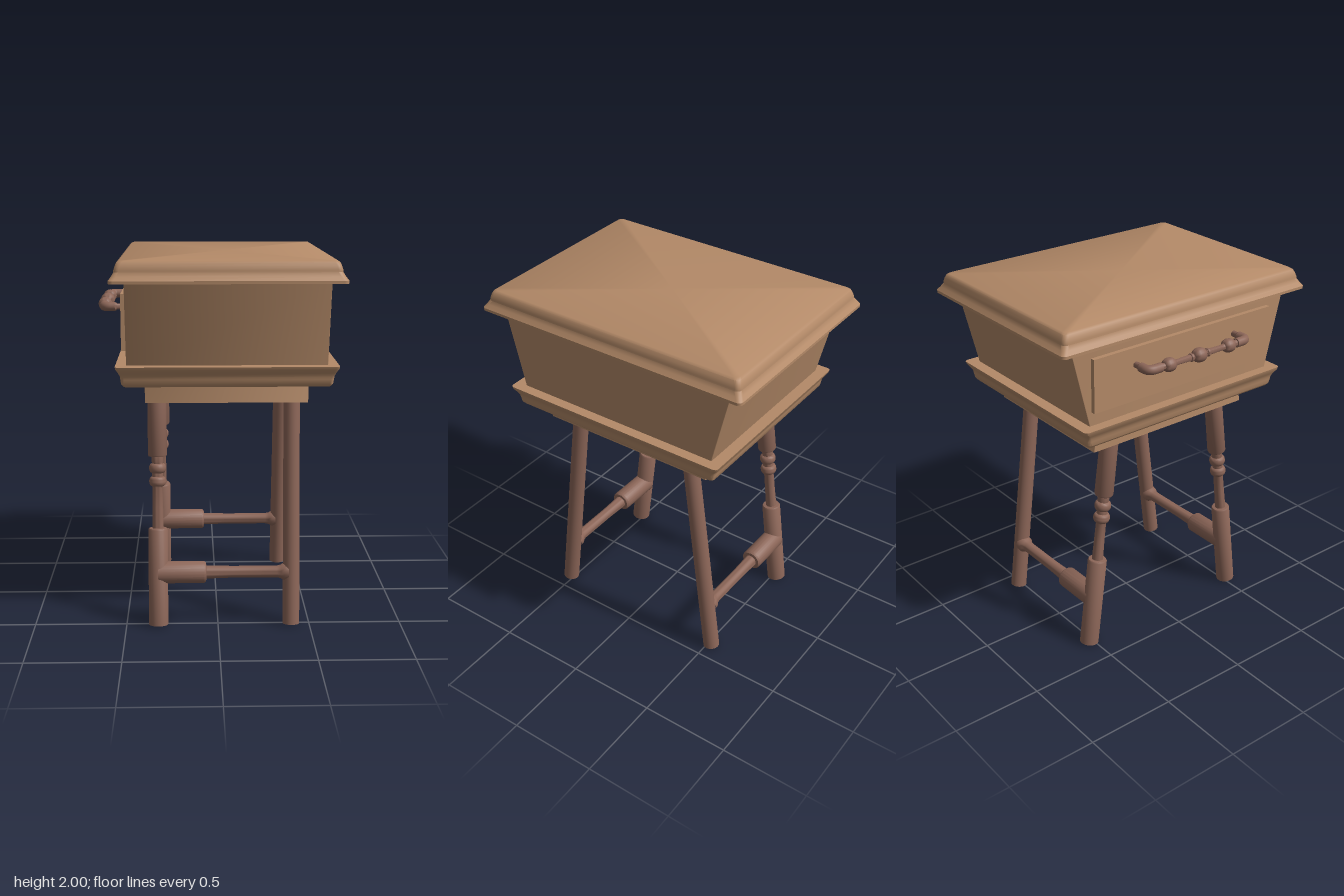
import * as THREE from 'three';
import { toCreasedNormals } from 'three/addons/utils/BufferGeometryUtils.js';

const tan = new THREE.MeshStandardMaterial({ color: 0xb48a68 });
const brown = new THREE.MeshStandardMaterial({ color: 0x8c6658 });

function add(parent, name, geometry, material, x = 0, y = 0, z = 0) {
  const mesh = new THREE.Mesh(geometry, material);
  mesh.name = name;
  mesh.position.set(x, y, z);
  parent.add(mesh);
  return mesh;
}

// Closed solid through rounded rectangles [y, halfX, halfZ, cornerRadius], bottom to top
function rectLoft(sections) {
  const steps = 4, n = 4 * (steps + 1), pos = [], index = [];
  const signs = [[1, 1], [-1, 1], [-1, -1], [1, -1]];
  for (const [y, hx, hz, r] of sections) {
    signs.forEach(([sx, sz], q) => {
      for (let i = 0; i <= steps; i++) {
        const a = (q + i / steps) * Math.PI / 2;
        pos.push(sx * (hx - r) + r * Math.cos(a), y, sz * (hz - r) + r * Math.sin(a));
      }
    });
  }
  const last = sections.length - 1, bottom = pos.length / 3, top = bottom + 1;
  pos.push(0, sections[0][0], 0, 0, sections[last][0], 0);
  for (let i = 0; i < n; i++) {
    const j = (i + 1) % n;
    for (let s = 0; s < last; s++) {
      const a = s * n + i, b = s * n + j;
      index.push(a, a + n, b, b, a + n, b + n);
    }
    index.push(bottom, i, j, top, last * n + j, last * n + i);
  }
  const g = new THREE.BufferGeometry();
  g.setAttribute('position', new THREE.Float32BufferAttribute(pos, 3));
  g.setIndex(index);
  return toCreasedNormals(g, 0.6);
}

// Turned part from [radius, height] pairs, lowest first
function turned(profile, sides = 24) {
  const pts = profile.map(([r, y]) => new THREE.Vector2(r, y));
  return toCreasedNormals(new THREE.LatheGeometry(pts, sides), 0.7);
}

// Bead outline as a half circle squashed along the axis
function bead(y, halfHeight, core, radius) {
  return Array.from({ length: 9 }, (_, i) => {
    const a = (i / 8 - 0.5) * Math.PI;
    return [core + (radius - core) * Math.cos(a), y + halfHeight * Math.sin(a)];
  });
}

function createCase() {
  const g = new THREE.Group();
  g.name = 'case';
  g.position.x = 0.045;
  add(g, 'lid', rectLoft([
    [1.89, 0.593, 0.803, 0.025], [1.905, 0.593, 0.803, 0.025], [1.925, 0.578, 0.788, 0.025],
    [1.945, 0.566, 0.776, 0.025], [1.955, 0.566, 0.776, 0.025], [1.975, 0.56, 0.77, 0.025],
    [1.992, 0.552, 0.762, 0.025], [2.0, 0.54, 0.75, 0.025],
  ]), tan);
  add(g, 'flaredBody', rectLoft([[1.43, 0.52, 0.597, 0.004], [1.9, 0.52, 0.712, 0.004]]), tan);
  add(g, 'baseMoulding', rectLoft([
    [1.345, 0.535, 0.62, 0.02], [1.358, 0.546, 0.63, 0.02], [1.385, 0.55, 0.635, 0.02],
    [1.4, 0.552, 0.637, 0.02], [1.42, 0.56, 0.648, 0.02], [1.44, 0.573, 0.663, 0.02],
    [1.455, 0.576, 0.667, 0.02],
  ]), tan);
  add(g, 'apron', rectLoft([[1.24, 0.43, 0.512, 0.004], [1.36, 0.43, 0.495, 0.004]]), tan);
  return g;
}

function createDrawer() {
  const g = new THREE.Group();
  g.name = 'drawer';
  add(g, 'drawerFront', new THREE.BoxGeometry(0.06, 0.29, 1.18), tan, -0.47, 1.675, 0);

  const handle = new THREE.Group();
  handle.name = 'handle';
  handle.position.set(-0.603, 1.727, 0);
  g.add(handle);

  // Beaded grip lying along z
  const grip = add(handle, 'grip', turned([
    [0, -0.27], [0.016, -0.27], [0.018, -0.245], ...bead(-0.2, 0.034, 0.018, 0.037),
    [0.015, -0.15], [0.017, -0.065], ...bead(-0.055, 0.008, 0.017, 0.023),
    [0.017, -0.042], ...bead(0, 0.039, 0.012, 0.039), [0.017, 0.042],
    ...bead(0.055, 0.008, 0.017, 0.023), [0.017, 0.065], [0.015, 0.15],
    ...bead(0.2, 0.034, 0.018, 0.037), [0.018, 0.245], [0.016, 0.27], [0, 0.27],
  ], 20), brown);
  grip.rotation.x = Math.PI / 2;

  // Elbows and thin pins into the drawer front
  for (const s of [1, -1]) {
    const path = new THREE.CurvePath();
    const p = (x, z) => new THREE.Vector3(x, 0, s * z);
    path.add(new THREE.LineCurve3(p(0, 0.253), p(0, 0.29)));
    path.add(new THREE.QuadraticBezierCurve3(p(0, 0.29), p(0, 0.33), p(0.035, 0.33)));
    path.add(new THREE.LineCurve3(p(0.035, 0.33), p(0.06, 0.33)));
    add(handle, 'elbow', new THREE.TubeGeometry(path, 24, 0.025, 16), brown);
    const innerCap = add(handle, 'elbowCap', new THREE.CircleGeometry(0.025, 16), brown, 0, 0, s * 0.253);
    innerCap.rotation.y = s > 0 ? Math.PI : 0;
    const pin = add(handle, 'pin', turned([[0.025, 0], [0.017, 0.012], [0.016, 0.12]], 16), brown, 0.06, 0, s * 0.33);
    pin.rotation.z = -Math.PI / 2;
  }
  return g;
}

// Pair of legs joined by a stretcher, splayed toward side s
function createLegFrame(s) {
  const g = new THREE.Group();
  g.name = s > 0 ? 'frontLegFrame' : 'backLegFrame';
  g.position.set(0, 0.007, s * 0.522);
  g.rotation.x = -s * 0.124;
  add(g, 'plainLeg', new THREE.CylinderGeometry(0.044, 0.046, 1.265, 24), brown, 0.4, 0.6325, 0);
  add(g, 'turnedLeg', turned([
    [0, 0], [0.053, 0], [0.053, 0.525], [0.048, 0.533], [0.031, 0.535], [0.029, 0.65], [0.028, 0.755],
    ...bead(0.79, 0.026, 0.03, 0.046), [0.03, 0.825], ...bead(0.862, 0.026, 0.03, 0.046),
    [0.032, 0.9], [0.032, 0.925], [0.048, 0.927], [0.052, 0.935], [0.05, 1.265], [0, 1.265],
  ]), brown, -0.325, 0, 0);
  const stretcher = add(g, 'stretcher', turned([
    [0.06, 0], [0.06, 0.25], [0.052, 0.26], [0.036, 0.262], [0.032, 0.4], [0.032, 0.645],
    [0.037, 0.668], [0.048, 0.685], [0.048, 0.71],
  ]), brown, -0.325, 0.288, 0);
  stretcher.rotation.z = -Math.PI / 2;
  return g;
}

export function createModel() {
  const model = new THREE.Group();
  model.name = 'sideTable';
  model.add(createCase(), createDrawer(), createLegFrame(1), createLegFrame(-1));
  return model;
}
